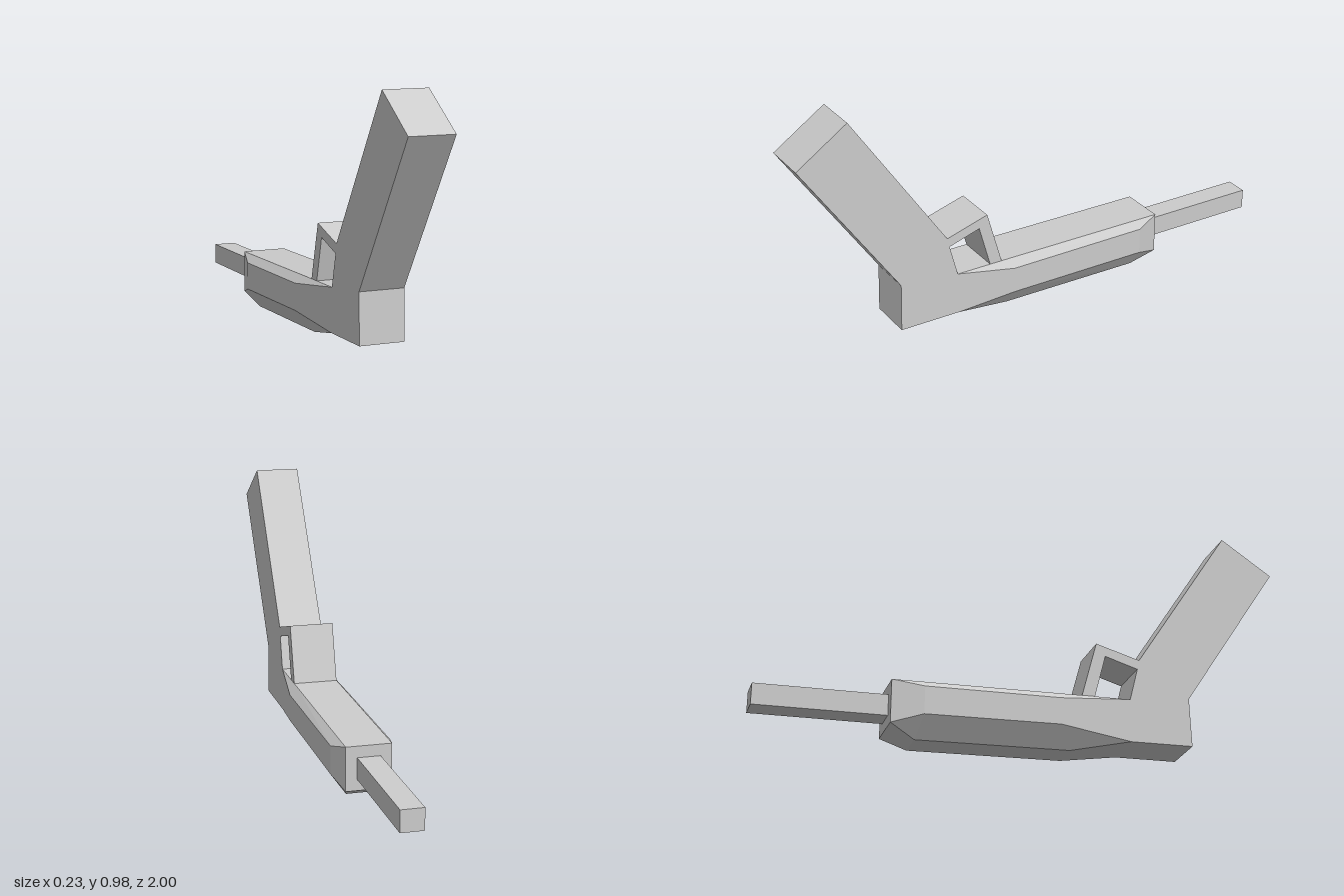
import * as THREE from 'three';

const material = new THREE.MeshStandardMaterial({ color: 0xcccccc, flatShading: true });

// Extrude a side outline given as [z, y] points, centred across x
function sideSlab(name, outline, width) {
  const shape = new THREE.Shape(outline.map(([z, y]) => new THREE.Vector2(z, y)));
  const geometry = new THREE.ExtrudeGeometry(shape, { depth: width, bevelEnabled: false });
  geometry.translate(0, 0, -width / 2).rotateY(-Math.PI / 2);
  const mesh = new THREE.Mesh(geometry, material);
  mesh.name = name;
  return mesh;
}

// Skin eight-cornered cross-sections running from rear to muzzle
function loft(name, sections) {
  const positions = [];
  const tri = (...corners) => corners.forEach((c) => positions.push(...c));
  for (let i = 0; i < sections.length - 1; i++) {
    const s = sections[i], t = sections[i + 1];
    for (let j = 0; j < 8; j++) {
      const k = (j + 1) % 8;
      tri(s[j], t[j], s[k]);
      tri(t[j], t[k], s[k]);
    }
  }
  // Muzzle and rear caps
  const front = sections[sections.length - 1], rear = sections[0];
  for (let j = 1; j < 7; j++) {
    tri(front[0], front[j + 1], front[j]);
    tri(rear[0], rear[j], rear[j + 1]);
  }
  const geometry = new THREE.BufferGeometry();
  geometry.setAttribute('position', new THREE.Float32BufferAttribute(positions, 3));
  geometry.computeVertexNormals();
  const mesh = new THREE.Mesh(geometry, material);
  mesh.name = name;
  return mesh;
}

// Mirrored section: half-widths and heights of floor, flank and roof;
// zLeft and zRight place the flank corners of each side
function section(z, [floorX, floorY], [flankX, lowY, highY], [roofX, roofY], zLeft = z, zRight = z) {
  const half = (side, zf) => [
    [side * floorX, floorY, z], [side * flankX, lowY, zf],
    [side * flankX, highY, zf], [side * roofX, roofY, z],
  ];
  return [...half(1, zLeft), ...half(-1, zRight).reverse()];
}

export function createModel() {
  const group = new THREE.Group();

  // Grip, rear block and trigger guard share one outline
  group.add(sideSlab('gripAndGuard', [
    [1, 0.855], [0.8, 0.985], [0.43, 0.412], [0.26, 0.457], [0.2, 0.238], [0.25, 0.24],
    [0.295, 0.41], [0.422, 0.375], [0.39, 0.248], [0.39, 0.081], [0.632, 0.091], [0.626, 0.28],
  ], 0.17));

  // Faceted body that swells between its rectangular ends
  group.add(loft('body', [
    section(0.39, [0.085, 0.081], [0.085, 0.081, 0.248], [0.085, 0.248]),
    section(0.16, [0.056, 0.03], [0.113, 0.105, 0.208], [0.085, 0.239], 0.16, 0.11),
    section(-0.42, [0.056, 0.002], [0.113, 0.081, 0.187], [0.085, 0.214], -0.42, -0.4),
    section(-0.515, [0.085, 0.046], [0.085, 0.046, 0.21], [0.085, 0.21]),
  ]));

  // Square barrel
  group.add(sideSlab('barrel', [
    [-0.5, 0.088], [-1, 0.069], [-1, 0.149], [-0.5, 0.168],
  ], 0.086));

  return group;
}
